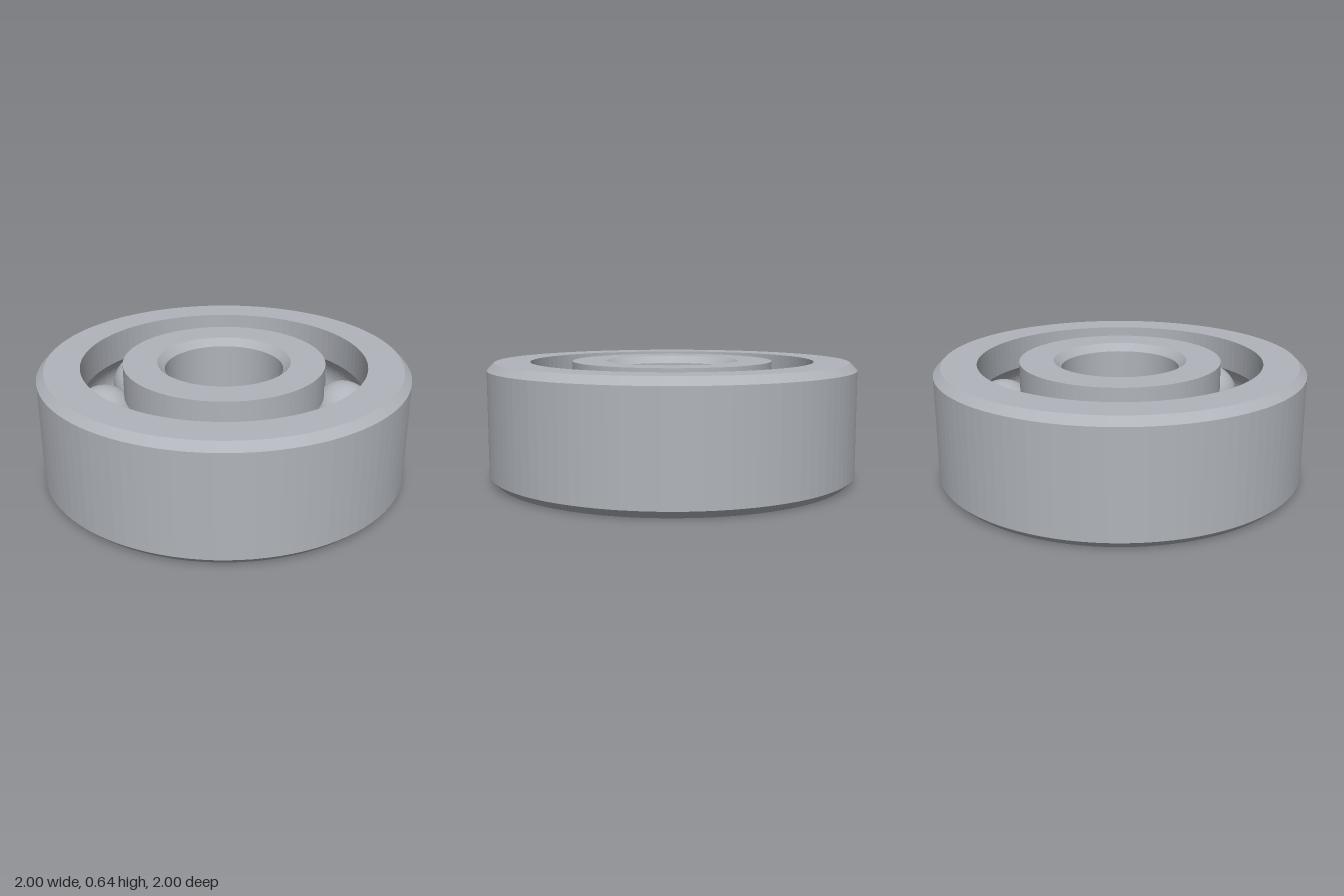
import * as THREE from 'three';

const MID = 0.32, HEIGHT = 0.64, CHAMFER = 0.04;
const PITCH = 0.66, BALL = 0.175, GROOVE = 0.178;

const steel = new THREE.MeshStandardMaterial({ color: 0xb0b4ba });
steel.name = 'steel';

// Finely faceted mesh
function part(name, geometry) {
  const g = geometry.toNonIndexed();
  g.computeVertexNormals();
  const mesh = new THREE.Mesh(g, steel);
  mesh.name = name;
  return mesh;
}

// Ball groove cut into a wall of radius r, as an arc around the pitch circle.
// side is +1 for the outer race (traced downward), -1 for the inner race (traced upward).
function groove(r, side) {
  const half = Math.acos(Math.abs(r - PITCH) / GROOVE);
  const points = [];
  for (let i = 0; i <= 14; i++) {
    const a = half * (1 - i / 7);
    points.push([PITCH + side * GROOVE * Math.cos(a), MID + side * GROOVE * Math.sin(a)]);
  }
  return points;
}

// Closed profile, traced counterclockwise, turned around y
function ring(name, profile) {
  const points = [...profile, profile[0]].map(([r, y]) => new THREE.Vector2(r, y));
  return part(name, new THREE.LatheGeometry(points, 100));
}

export function createModel() {
  const group = new THREE.Group();
  group.name = 'ballBearing';

  // Outer ring: chamfered outside, grooved inside
  group.add(ring('outerRing', [
    [0.77, 0], [1 - CHAMFER, 0], [1, CHAMFER],
    [1, HEIGHT - CHAMFER], [1 - CHAMFER, HEIGHT], [0.77, HEIGHT],
    ...groove(0.77, 1),
  ]));

  // Inner ring: grooved outside, chamfered bore
  group.add(ring('innerRing', [
    [0.545, 0], ...groove(0.545, -1), [0.545, HEIGHT],
    [0.32 + CHAMFER, HEIGHT], [0.32, HEIGHT - CHAMFER],
    [0.32, CHAMFER], [0.32 + CHAMFER, 0],
  ]));

  // Eight balls around the pitch circle
  const balls = new THREE.Group();
  balls.name = 'balls';
  for (let i = 0; i < 8; i++) {
    const a = i * Math.PI / 4;
    const ball = part('ball' + (i + 1), new THREE.SphereGeometry(BALL, 40, 24));
    ball.position.set(PITCH * Math.cos(a), MID, PITCH * Math.sin(a));
    balls.add(ball);
  }
  group.add(balls);
  return group;
}
